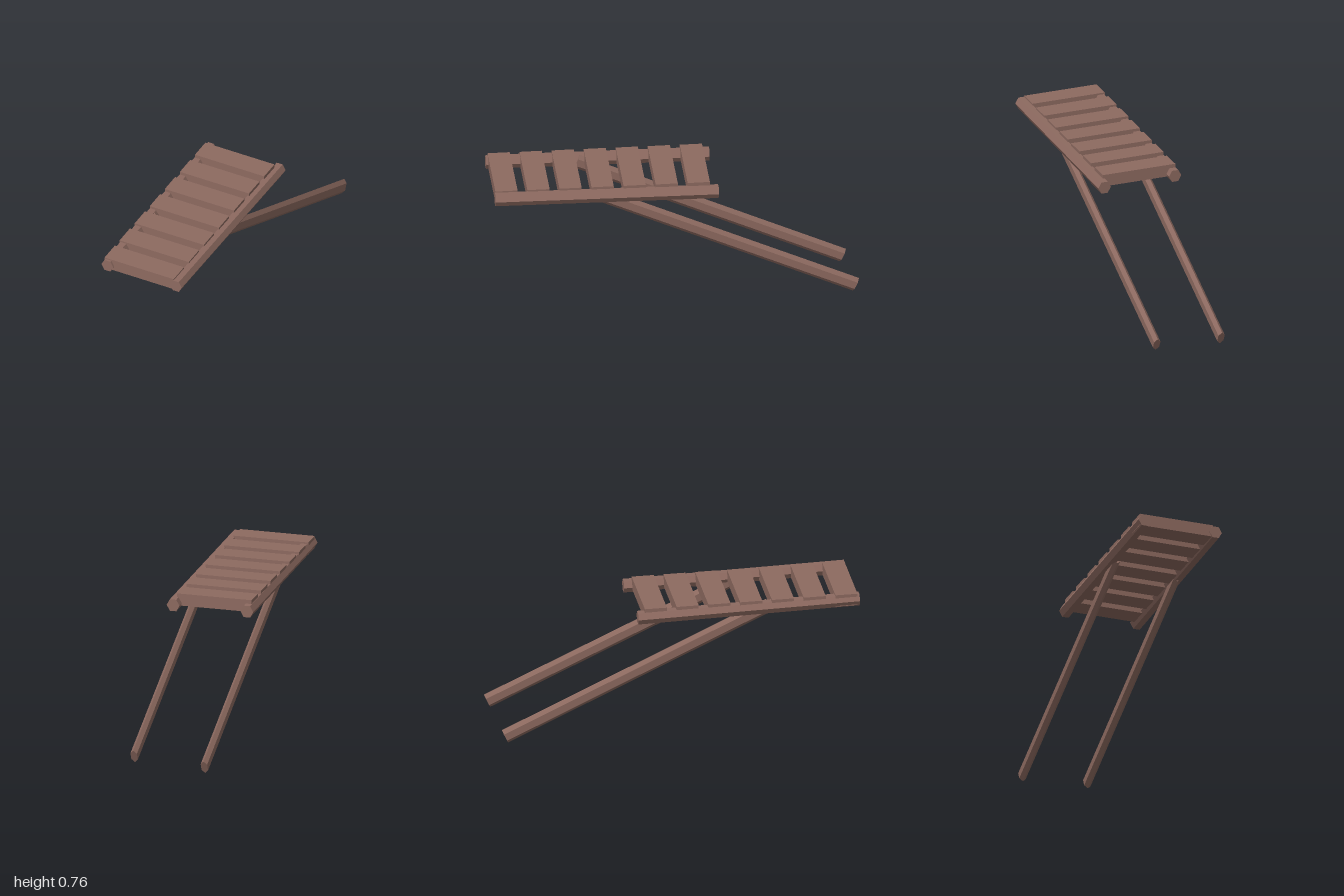
import * as THREE from 'three';

const wood = new THREE.MeshStandardMaterial({ color: 0x8d6a60, flatShading: true });

// Six-sided beam from a to b, w wide (level) and h tall; ridge on top or on the sides
function beam(name, a, b, w, h, ridgeOnTop) {
  const start = new THREE.Vector3(...a), end = new THREE.Vector3(...b);
  const axis = end.clone().sub(start);
  const geo = new THREE.CylinderGeometry(1, 1, axis.length(), 6);
  geo.rotateX(Math.PI / 2); // length along z, corners on +-y
  if (!ridgeOnTop) geo.rotateZ(Math.PI / 2);
  const flat = Math.sqrt(3);
  geo.scale(w / (ridgeOnTop ? flat : 2), h / (ridgeOnTop ? 2 : flat), 1);
  const mesh = new THREE.Mesh(geo, wood);
  mesh.name = name;
  mesh.position.copy(start).add(end).multiplyScalar(0.5);
  mesh.lookAt(end);
  return mesh;
}

export function createModel() {
  const group = new THREE.Group();
  group.name = 'slattedPlatform';

  // Side rails
  group.add(
    beam('backRail', [-0.983, 0.727, 0.236], [0.113, 0.709, -0.312], 0.073, 0.066, false),
    beam('frontRail', [-0.789, 0.727, 0.604], [0.307, 0.709, 0.058], 0.073, 0.066, false)
  );

  // Slanting support poles
  group.add(
    beam('backPole', [-0.53, 0.717, 0.034], [0.777, 0.042, -0.618], 0.037, 0.084, true),
    beam('frontPole', [-0.265, 0.716, 0.336], [0.98, 0.078, -0.283], 0.037, 0.084, true)
  );

  // Cross slats, as deep as the rails
  const slatGeo = new THREE.BoxGeometry(0.122, 0.068, 0.425);
  for (let i = 0; i < 7; i++) {
    const t = i / 6;
    const slat = new THREE.Mesh(slatGeo, wood);
    slat.name = 'slat' + (i + 1);
    slat.position.set(-0.833 + 0.946 * t, 0.733 - 0.003 * t, 0.372 - 0.464 * t);
    slat.rotation.y = Math.atan2(0.548, 1.095);
    group.add(slat);
  }
  return group;
}
